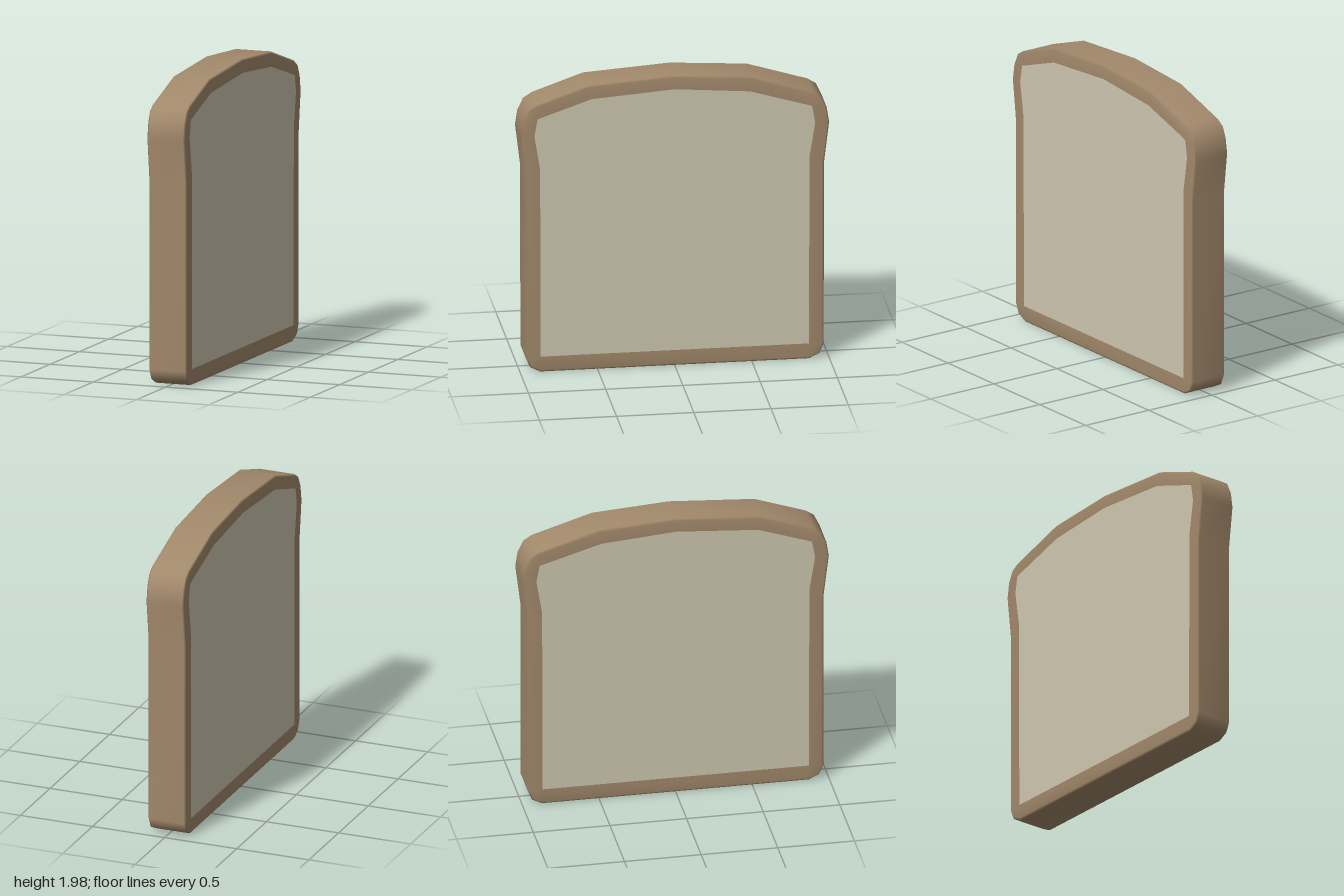
import * as THREE from 'three';

const HALF = 0.13; // half thickness of the slice
const BEVEL = 0.01;

// Each entry: outer crust point and matching crumb corner, as [z, y, innerZ, innerY]
const leftHalf = [
  [0.87, 0, 0.868, 0.105], [0.936, 0.033, 0.868, 0.105], [0.965, 0.1, 0.868, 0.105],
  [0.966, 1.33, 0.872, 1.385], [1, 1.61, 0.909, 1.615],
  [0.985, 1.71, 0.888, 1.73], [0.947, 1.79, 0.888, 1.73], [0.893, 1.825, 0.888, 1.73],
];
const mirrored = leftHalf.map(([z, y, iz, iy]) => [-z, y, -iz, iy]).reverse();
const outline = [
  ...leftHalf,
  [0.56, 1.942, 0.54, 1.85], [0, 1.98, 0, 1.89], [-0.5, 1.947, -0.487, 1.85],
  ...mirrored,
];

// Crust band: cross-section rings from one crumb edge, round the rim, to the other
function crustGeometry() {
  // [x, how far in from the rim: 0 = rim, 1 = crumb edge]
  const rings = [
    [HALF, 1], [HALF, 0.13], [HALF - BEVEL, 0],
    [BEVEL - HALF, 0], [-HALF, 0.13], [-HALF, 1],
  ];
  const n = outline.length;
  const positions = [], index = [];
  for (const [x, t] of rings) {
    for (const [z, y, iz, iy] of outline) {
      positions.push(x, y + (iy - y) * t, z + (iz - z) * t);
    }
  }
  for (let r = 0; r < rings.length - 1; r++) {
    for (let j = 0; j < n; j++) {
      const k = (j + 1) % n;
      const a = r * n + j, b = r * n + k, c = a + n, d = b + n;
      index.push(a, b, c, b, d, c);
    }
  }
  const geometry = new THREE.BufferGeometry();
  geometry.setAttribute('position', new THREE.Float32BufferAttribute(positions, 3));
  geometry.setIndex(index);
  geometry.computeVertexNormals();
  return geometry;
}

// Crumb: flat-faced block filling the crust, flush on both sides
function crumbGeometry() {
  const corners = outline
    .map(([, , z, y]) => new THREE.Vector2(z, y))
    .filter((p, i, all) => i === 0 || !p.equals(all[i - 1]));
  const geometry = new THREE.ExtrudeGeometry(new THREE.Shape(corners), {
    depth: HALF * 2, bevelEnabled: false,
  });
  geometry.rotateY(-Math.PI / 2);
  geometry.translate(HALF, 0, 0);
  return geometry;
}

export function createModel() {
  const slice = new THREE.Group();
  slice.name = 'breadSlice';
  const add = (name, geometry, color) => {
    const mesh = new THREE.Mesh(geometry, new THREE.MeshStandardMaterial({ color }));
    mesh.name = name;
    slice.add(mesh);
  };
  add('crust', crustGeometry(), 0xa2896b);
  add('crumb', crumbGeometry(), 0xcec6b0);
  return slice;
}
